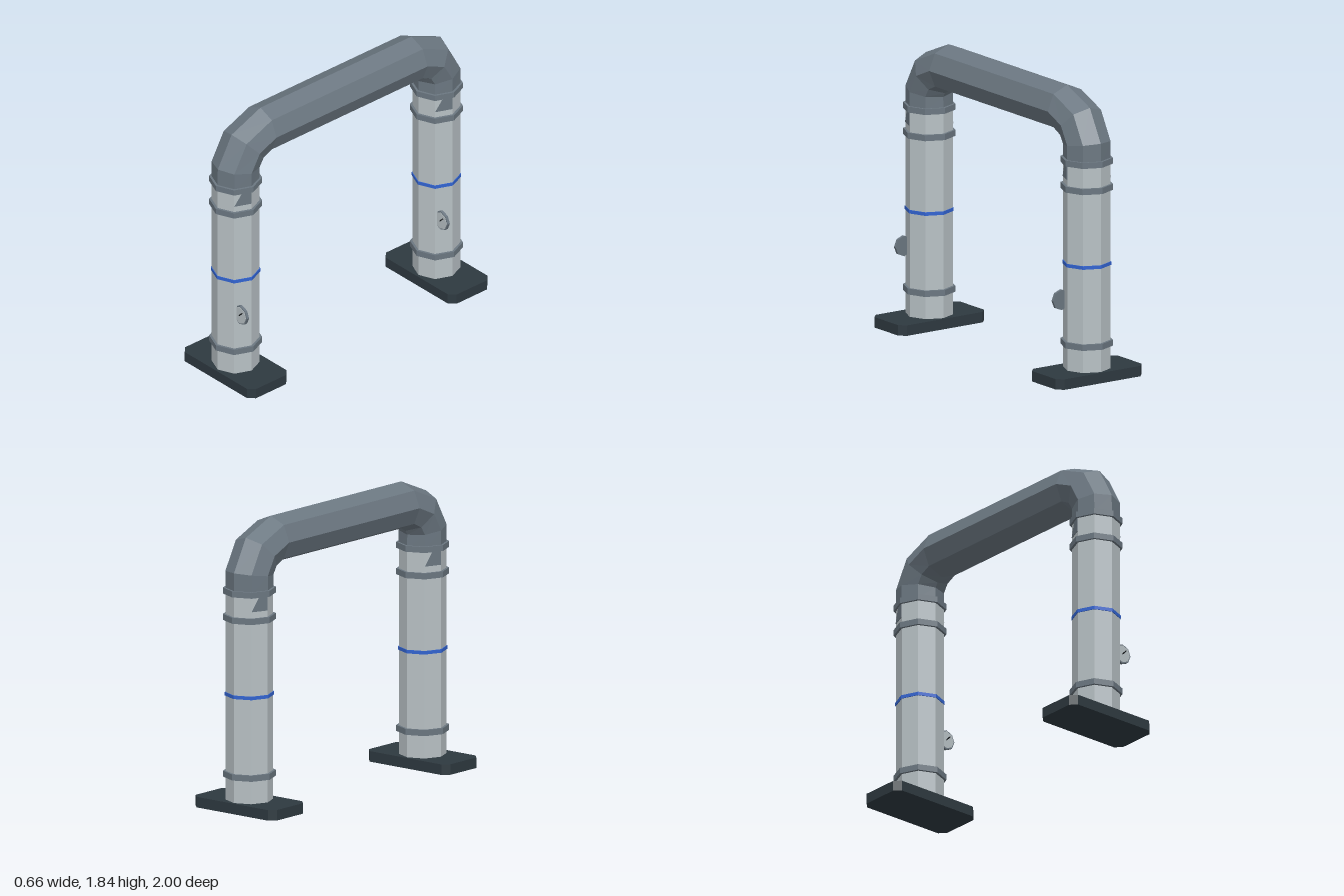
import * as THREE from 'three';

const mat = (name, color) => {
  const m = new THREE.MeshStandardMaterial({ color });
  m.name = name;
  return m;
};

// Faceted normals for the low-poly look
function faceted(geometry) {
  const g = geometry.index ? geometry.toNonIndexed() : geometry;
  g.computeVertexNormals();
  return g;
}

function add(parent, name, geometry, material, x = 0, y = 0, z = 0) {
  const mesh = new THREE.Mesh(faceted(geometry), material);
  mesh.name = name;
  mesh.position.set(x, y, z);
  parent.add(mesh);
  return mesh;
}

const polygon = points => new THREE.Shape(points.map(p => new THREE.Vector2(...p)));
const plate = (points, depth) =>
  new THREE.ExtrudeGeometry(polygon(points), { depth, bevelEnabled: false });

// Octagonal pipe swept through stations of [z, y, tilt of the outer side]
function sweptPipe(stations, radius, sides = 8) {
  const positions = [], index = [];
  for (const [z, y, tilt] of stations) {
    for (let k = 0; k < sides; k++) {
      const a = (k / sides) * Math.PI * 2;
      const out = radius * Math.cos(a);
      positions.push(radius * Math.sin(a), y + out * Math.sin(tilt), z + out * Math.cos(tilt));
    }
  }
  for (let i = 0; i < stations.length - 1; i++) {
    for (let k = 0; k < sides; k++) {
      const a = i * sides + k, b = i * sides + (k + 1) % sides;
      index.push(a, b, b + sides, a, b + sides, a + sides);
    }
  }
  const g = new THREE.BufferGeometry();
  g.setAttribute('position', new THREE.Float32BufferAttribute(positions, 3));
  g.setIndex(index);
  return g;
}

export function createModel() {
  const lightGrey = mat('light grey metal', 0xb8c1c5);
  const steel = mat('steel grey', 0x6b7781);
  const darkBase = mat('dark base', 0x2e3940);
  const blue = mat('blue band', 0x3264d2);
  const black = mat('black', 0x14181b);

  const model = new THREE.Group();
  model.name = 'pipeArch';
  const R = 0.149, LEG_Z = 0.835;

  // Overhead pipe with two elbows
  const half = [
    [LEG_Z, 1.4, 0],
    [LEG_Z, 1.507, 0.15],
    [0.768, 1.624, 0.84],
    [0.628, 1.685, Math.PI / 2],
  ];
  const mirrored = half.map(([z, y, t]) => [-z, y, Math.PI - t]).reverse();
  add(model, 'overheadPipe', sweptPipe([...half, ...mirrored], 0.15), steel);

  for (const side of [1, -1]) {
    const leg = new THREE.Group();
    leg.name = side > 0 ? 'frontLeg' : 'backLeg';
    leg.position.z = side * LEG_Z;
    model.add(leg);

    // Foot plate with cut corners
    const w = 0.33, d = 0.165, c = 0.04;
    const foot = plate([[-w, c - d], [c - w, -d], [w - c, -d], [w, c - d],
      [w, d - c], [w - c, d], [c - w, d], [-w, d - c]], 0.067);
    add(leg, 'footPlate', foot.rotateX(-Math.PI / 2), darkBase);

    // Column, flanges and painted band
    add(leg, 'column', new THREE.CylinderGeometry(R, R, 1.35, 8), lightGrey, 0, 0.735, 0);
    for (const y of [0.232, 1.23, 1.398]) {
      add(leg, 'flange', new THREE.CylinderGeometry(0.165, 0.165, 0.038, 8), steel, 0, y, 0);
    }
    add(leg, 'blueBand', new THREE.CylinderGeometry(0.154, 0.154, 0.022, 8), blue, 0, 0.741, 0);

    // Marker plates on two opposite facets
    for (const turn of [0, Math.PI]) {
      const marker = plate([[-0.055, 1.29], [0.055, 1.29], [0.055, 1.38], [-0.003, 1.38]], 0.004);
      marker.translate(0, 0, R * Math.cos(Math.PI / 8));
      add(leg, 'markerPlate', marker, steel).rotation.y = Math.PI * 3 / 8 + turn;
    }

    // Gauge with dial and needle
    const gauge = new THREE.Group();
    gauge.name = 'gauge';
    gauge.position.set(0.14, 0.505, 0.08);
    leg.add(gauge);
    const disc = (r, h) => new THREE.CylinderGeometry(r, r, h, 8).rotateX(Math.PI / 2);
    add(gauge, 'gaugeBody', disc(0.066, 0.018), steel);
    add(gauge, 'gaugeDial', disc(0.058, 0.004), lightGrey, 0, 0, 0.01);
    const needle = add(gauge, 'needle', new THREE.BoxGeometry(0.04, 0.007, 0.005), black, 0.012, 0.012, 0.014);
    needle.rotation.z = Math.PI / 4;
  }
  return model;
}
